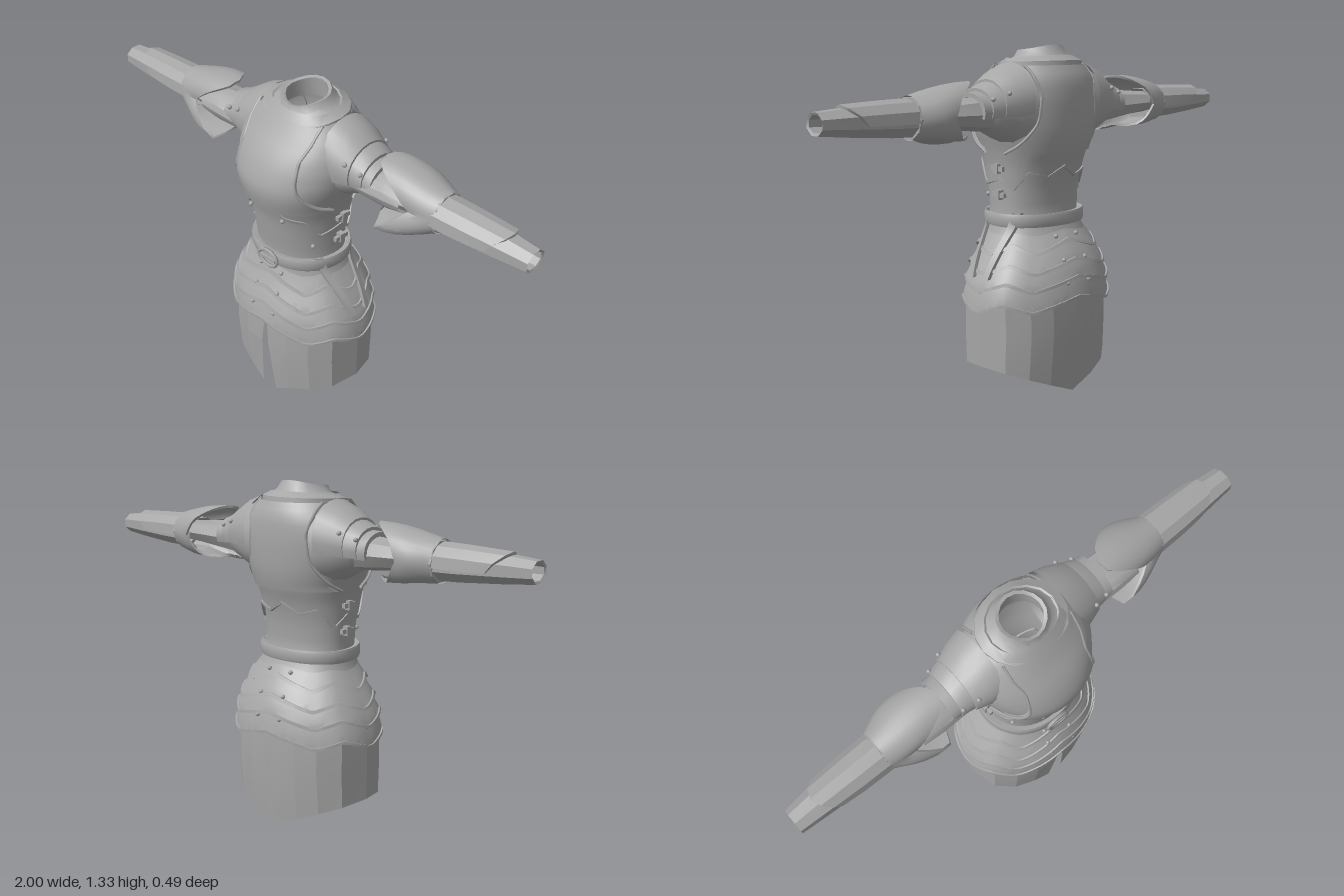
import * as THREE from 'three';
import { toCreasedNormals } from 'three/addons/utils/BufferGeometryUtils.js';

const steel = new THREE.MeshStandardMaterial({ color: 0xa6a6a6, side: THREE.DoubleSide });
steel.name = 'grey steel';
const RAD = Math.PI / 180;

// linear interpolation in a table of [key, value, ...] rows
function lookup(table, k) {
  let i = 0;
  while (i < table.length - 2 && k > table[i + 1][0]) i++;
  const a = table[i], b = table[i + 1];
  const t = THREE.MathUtils.clamp((k - a[0]) / (b[0] - a[0]), 0, 1);
  return a.slice(1).map((v, j) => v + (b[j + 1] - v) * t);
}

// surface from a function of column i and row j
function grid(nu, nv, fn, crease = 38) {
  const pos = [], index = [];
  for (let j = 0; j <= nv; j++) for (let i = 0; i <= nu; i++) pos.push(...fn(i, j));
  for (let j = 0; j < nv; j++) for (let i = 0; i < nu; i++) {
    const a = j * (nu + 1) + i, b = a + 1, c = a + nu + 1, d = c + 1;
    index.push(a, c, b, b, c, d);
  }
  const g = new THREE.BufferGeometry();
  g.setAttribute('position', new THREE.Float32BufferAttribute(pos, 3));
  g.setIndex(index);
  return toCreasedNormals(g, crease * RAD);
}

function add(parent, name, geometry) {
  const m = new THREE.Mesh(geometry, steel);
  m.name = name;
  parent.add(m);
  return m;
}

// body outline: height, half width, front depth, back depth
const BODY = [
  [0.30, 0.305, 0.222, 0.222], [0.40, 0.300, 0.228, 0.228], [0.45, 0.290, 0.224, 0.226],
  [0.50, 0.270, 0.212, 0.217], [0.55, 0.245, 0.193, 0.197], [0.60, 0.215, 0.178, 0.168],
  [0.65, 0.187, 0.168, 0.138], [0.70, 0.181, 0.168, 0.122], [0.80, 0.183, 0.184, 0.128],
  [0.88, 0.191, 0.197, 0.147], [0.94, 0.205, 0.219, 0.170], [1.00, 0.225, 0.232, 0.182],
  [1.04, 0.236, 0.228, 0.185], [1.10, 0.243, 0.206, 0.188], [1.15, 0.240, 0.176, 0.187],
  [1.20, 0.222, 0.138, 0.182], [1.25, 0.175, 0.105, 0.163], [1.28, 0.130, 0.085, 0.13],
];

// point on the body; deg 0 is the front, 90 is the model's left
function body(deg, y, off = 0) {
  const [w, f, b] = lookup(BODY, y);
  const s = Math.sin(deg * RAD), c = Math.cos(deg * RAD);
  return [(w + off) * Math.sign(s) * Math.abs(s) ** 0.93, y,
    ((c > 0 ? f : b) + off) * Math.sign(c) * Math.abs(c) ** 0.93];
}
const fold = (d) => { d = Math.abs(d) % 360; return d > 180 ? 360 - d : d; };

// armour plate round the body with a raised border on its lower edge
function plate(top, bottom, off0, off1, nv = 6, step = 5) {
  return grid(360 / step, nv + 3, (i, j) => {
    const d = i * step, lo = bottom(fold(d)), hi = top(fold(d)), edge = lo + 0.012;
    if (j <= nv) return body(d, hi + (edge - hi) * j / nv, off0 + (off1 - off0) * j / nv);
    return body(d, j === nv + 1 ? edge : lo, off1 + (j < nv + 3 ? 0.006 : -0.012));
  });
}

function tube(points, radius, closed = false, sides = 5) {
  const c = new THREE.CatmullRomCurve3(points.map((p) => new THREE.Vector3(...p)), closed);
  return new THREE.TubeGeometry(c, points.length * 3, radius, sides, closed);
}

function stud(parent, deg, y, off) {
  const s = add(parent, 'rivet', new THREE.SphereGeometry(0.009, 8, 6));
  s.position.set(...body(deg, y, off));
}

// ring along the arm: x, top, bottom, front, back
function armLoft(rows, sides, from = 0, to = 360, off = 0, crease = 30) {
  return grid(sides, rows.length - 1, (i, j) => {
    const [x, t, b, f, k] = rows[j];
    const a = (from + (to - from) * i / sides) * RAD;
    return [x, (t + b) / 2 + ((t - b) / 2 + off) * Math.sin(a),
      (f + k) / 2 + ((f - k) / 2 + off) * Math.cos(a)];
  }, crease);
}

function makeArm() {
  const arm = new THREE.Group();
  const shoulder = [[0.14, 1.262, 0.95, 0.10, -0.17], [0.20, 1.242, 0.965, 0.095, -0.165],
    [0.25, 1.215, 0.99, 0.08, -0.15], [0.29, 1.185, 1.01, 0.062, -0.135], [0.31, 1.15, 1.03, 0.045, -0.115]];
  add(arm, 'shoulderSleeve', armLoft(shoulder, 16));
  // overlapping shoulder lames on the upper half
  const lames = [[[0.17, 1.26, 1.0, 0.10, -0.17], [0.23, 1.237, 1.0, 0.09, -0.16], [0.285, 1.2, 1.02, 0.07, -0.14]],
    [[0.255, 1.20, 1.02, 0.07, -0.14], [0.30, 1.187, 1.02, 0.06, -0.135], [0.335, 1.17, 1.03, 0.055, -0.125]],
    [[0.31, 1.16, 1.03, 0.05, -0.12], [0.37, 1.155, 1.03, 0.05, -0.12]]];
  for (const l of lames) {
    const [x, ...r] = l[l.length - 1];
    l.push([x, r[0] - 0.016, r[1] + 0.016, r[2] - 0.016, r[3] + 0.016]);
    add(arm, 'shoulderLame', armLoft(l, 12, -20, 200, 0.008));
  }
  for (const [x, y, z] of [[0.27, 1.16, 0.075], [0.33, 1.14, 0.062], [0.33, 1.14, -0.125], [0.27, 1.16, -0.145]])
    add(arm, 'shoulderRivet', new THREE.SphereGeometry(0.009, 8, 6)).position.set(x, y, z);

  add(arm, 'upperArm', armLoft([[0.22, 1.15, 1.01, 0.04, -0.12], [0.38, 1.145, 1.025, 0.05, -0.115],
    [0.50, 1.135, 1.04, 0.045, -0.11], [0.58, 1.13, 1.045, 0.035, -0.1]], 8));
  add(arm, 'upperArmPlate', armLoft([[0.30, 1.12, 1.035, 0.055, -0.115], [0.42, 1.145, 1.025, 0.058, -0.12],
    [0.50, 1.13, 1.04, 0.052, -0.115]], 6, -70, 70, 0.006));

  // elbow guard: inner edge by angle (0 front, 90 top): x, radius
  const flare = [[0, 0.54, 0.085], [30, 0.48, 0.10], [65, 0.38, 0.115], [90, 0.37, 0.118], [115, 0.40, 0.125],
    [150, 0.49, 0.125], [180, 0.52, 0.12], [220, 0.47, 0.12], [262, 0.38, 0.082], [295, 0.385, 0.105],
    [318, 0.42, 0.17], [340, 0.50, 0.115], [360, 0.54, 0.085]];
  add(arm, 'elbowGuard', grid(32, 6, (i, j) => {
    const d = i * 360 / 32, [xi, ri] = lookup(flare, d);
    const t = Math.min(j, 5) / 5, e = j === 6 ? -0.01 : 0;
    const r = 0.078 + (ri - 0.078) * Math.sin(t * 90 * RAD) + e;
    return [0.635 + (xi - 0.635) * t, 1.085 + r * Math.sin(d * RAD), -0.032 + r * Math.cos(d * RAD)];
  }));
  add(arm, 'elbowCuff', armLoft([[0.61, 1.16, 1.005, 0.045, -0.115], [0.64, 1.16, 1.01, 0.045, -0.112],
    [0.64, 1.14, 1.03, 0.03, -0.09]], 10));

  // low-sided forearm with an open wrist and an upper vambrace plate
  const wrist = [[0.55, 1.145, 1.015, 0.045, -0.11], [0.72, 1.145, 1.02, 0.043, -0.1], [0.88, 1.137, 1.033, 0.036, -0.086],
    [1, 1.127, 1.045, 0.028, -0.072], [0.995, 1.118, 1.054, 0.02, -0.063], [0.9, 1.12, 1.05, 0.02, -0.07]];
  add(arm, 'forearm', armLoft(wrist, 8, 22.5, 382.5));
  add(arm, 'vambrace', grid(6, 3, (i, j) => {
    const a = (-10 + i * 200 / 6) * RAD, tip = 0.84 + 0.07 * Math.max(0, Math.sin(a));
    const x = [0.62, 0.75, tip, tip][j], k = [1, 0.96, 0.87, 0.72][j];
    return [x, 1.083 + 0.072 * k * Math.sin(a), -0.03 + 0.08 * k * Math.cos(a)];
  }, 25));
  return arm;
}

export function createModel() {
  const model = new THREE.Group();
  model.name = 'plateArmour';

  // waist lining and chest plate with its pointed lower edge
  add(model, 'waist', grid(48, 10, (i, j) => body(i * 7.5, 1.01 - 0.039 * j)));
  const chestEdge = [[0, 1.0], [24, 0.895], [48, 0.875], [62, 0.80], [90, 0.825], [112, 0.78], [135, 0.85], [160, 0.83], [180, 0.87]];
  add(model, 'chestPlate', plate(() => 1.28, (d) => lookup(chestEdge, d)[0], 0, 0.006, 18));

  // raised front and back panels framing the armholes
  const half = [[0.93, 0.21], [0.97, 0.185], [1.05, 0.14], [1.15, 0.13], [1.20, 0.145], [1.255, 0.15]];
  for (const back of [false, true]) {
    const at = (u, y, off) => {
      const a = Math.asin(Math.min(0.97, lookup(half, y)[0] / (lookup(BODY, y)[0] + off))) / RAD;
      return body(back ? 180 - u * a : u * a, y, off);
    };
    add(model, back ? 'backPanel' : 'breastPanel', grid(20, 12, (i, j) => {
      const u = THREE.MathUtils.clamp((i - 10) / 9, -1, 1), y = 1.255 - 0.325 * j / 12;
      return at(u, y, i === 0 || i === 20 ? -0.004 : 0.014);
    }));
    for (const s of [-1, 1]) {
      const pts = [];
      for (let j = 0; j <= 12; j++) pts.push(at(s, 1.255 - 0.325 * j / 12, 0.012));
      add(model, 'armholeTrim', tube(pts, 0.006));
    }
  }

  // gorget: ring rows of half width, front z, back z, front y, side y, back y
  const gorget = [[0.172, 0.135, -0.168, 1.205, 1.245, 1.25], [0.17, 0.132, -0.165, 1.225, 1.268, 1.272],
    [0.135, 0.105, -0.135, 1.245, 1.283, 1.292], [0.128, 0.1, -0.13, 1.24, 1.278, 1.287],
    [0.105, 0.08, -0.118, 1.255, 1.29, 1.305], [0.09, 0.07, -0.105, 1.288, 1.312, 1.33],
    [0.078, 0.058, -0.093, 1.285, 1.308, 1.326], [0.085, 0.062, -0.1, 1.22, 1.24, 1.25]];
  add(model, 'gorget', grid(16, gorget.length - 1, (i, j) => {
    const [w, f, b, yf, ys, yb] = gorget[j], a = i * Math.PI / 8, c = Math.cos(a);
    return [w * Math.sin(a), ys + ((c > 0 ? yf : yb) - ys) * c * c, (f + b) / 2 + (f - b) / 2 * c];
  }));

  // four overlapping hip plates with zigzag edges
  const zig = [[0, 0.035], [38, -0.015], [62, 0.018], [90, -0.022], [118, 0.018], [142, -0.015], [180, 0.03]];
  const levels = [0.565, 0.495, 0.43, 0.352];
  levels.forEach((y, n) => add(model, 'hipPlate', plate(
    (d) => (n ? levels[n - 1] + 0.025 + lookup(zig, d)[0] : 0.67), (d) => y + lookup(zig, d)[0],
    -0.008, n === 3 ? 0.01 : 0.008, 4, 4)));
  for (const side of [0, 180]) for (const s of [-1, 1])
    for (const [y, a] of [[0.615, 13], [0.53, 11], [0.445, 9.5]]) stud(model, side + s * a, y, 0.008);
  for (const s of [-1, 1]) { stud(model, s * 22, 0.885, 0.012); stud(model, s * 55, 0.76, 0.003); }

  // belt with buckle
  add(model, 'belt', grid(40, 5, (i, j) => {
    const y = [0.655, 0.65, 0.66, 0.69, 0.70, 0.695][j], off = [-0.01, 0.016, 0.02, 0.02, 0.016, -0.01][j];
    const p = body(i * 9, 0.67, off);
    return [p[0], y, p[2]];
  }));
  const buckle = [];
  for (let i = 0; i < 8; i++)
    buckle.push([0.048 * Math.cos((i + 0.5) * Math.PI / 4), 0.672 + 0.034 * Math.sin((i + 0.5) * Math.PI / 4), 0.195]);
  add(model, 'beltBuckle', tube(buckle, 0.008, true));
  add(model, 'bucklePin', new THREE.BoxGeometry(0.08, 0.012, 0.01)).position.set(0, 0.672, 0.196);

  // two straps hanging from the belt on the left hip
  for (const [z0, z1] of [[0.095, 0.035], [-0.07, -0.04]])
    add(model, 'hangingStrap', grid(3, 8, (i, j) => {
      const y = 0.705 - 0.24 * j / 8, z = z0 + (z1 - z0) * j / 8 + [-0.012, -0.012, 0.012, 0.012][i];
      const [w, f, b] = lookup(BODY, y), c = z / (z > 0 ? f : b);
      return [w * Math.sqrt(1 - c * c) + (i % 3 ? 0.026 : 0.01), y, z];
    }));

  // side clasps
  for (const s of [-1, 1]) for (const y of [0.87, 0.77]) {
    const x = s * (lookup(BODY, y)[0] + 0.012);
    add(model, 'sideStrap', new THREE.BoxGeometry(0.014, 0.018, 0.065)).position.set(x, y, 0);
    add(model, 'sideBuckle', new THREE.BoxGeometry(0.024, 0.036, 0.022)).position.set(x, y, 0);
  }

  // faceted skirt, slit at the front, pointed hem front and back
  const cols = [0, 18, 38, 62, 90, 118, 142, 162, 180, 198, 218, 242, 270, 298, 322, 342, 360];
  add(model, 'skirt', grid(16, 2, (i, j) => {
    const end = i === 0 || i === 16, s = Math.sin(cols[i] * RAD), c = Math.cos(cols[i] * RAD);
    const x = 0.298 * Math.sign(s) * Math.abs(s) ** 0.85;
    const hem = end ? 0 : 0.12 - 0.115 * (1 - Math.abs(x) / 0.298);
    const y = [0.41, 0.25, hem][j], gap = [0.002, 0.018, 0.036][j];
    const depth = [0.215, 0.222, 0.222 - 0.02 * Math.abs(c)][j];
    return [end ? (i ? -gap : gap) : x, y, depth * Math.sign(c) * Math.abs(c) ** 0.85];
  }, 8));

  // arms
  const left = makeArm(), right = makeArm();
  left.name = 'leftArm';
  right.name = 'rightArm';
  right.scale.x = -1;
  model.add(left, right);
  return model;
}
